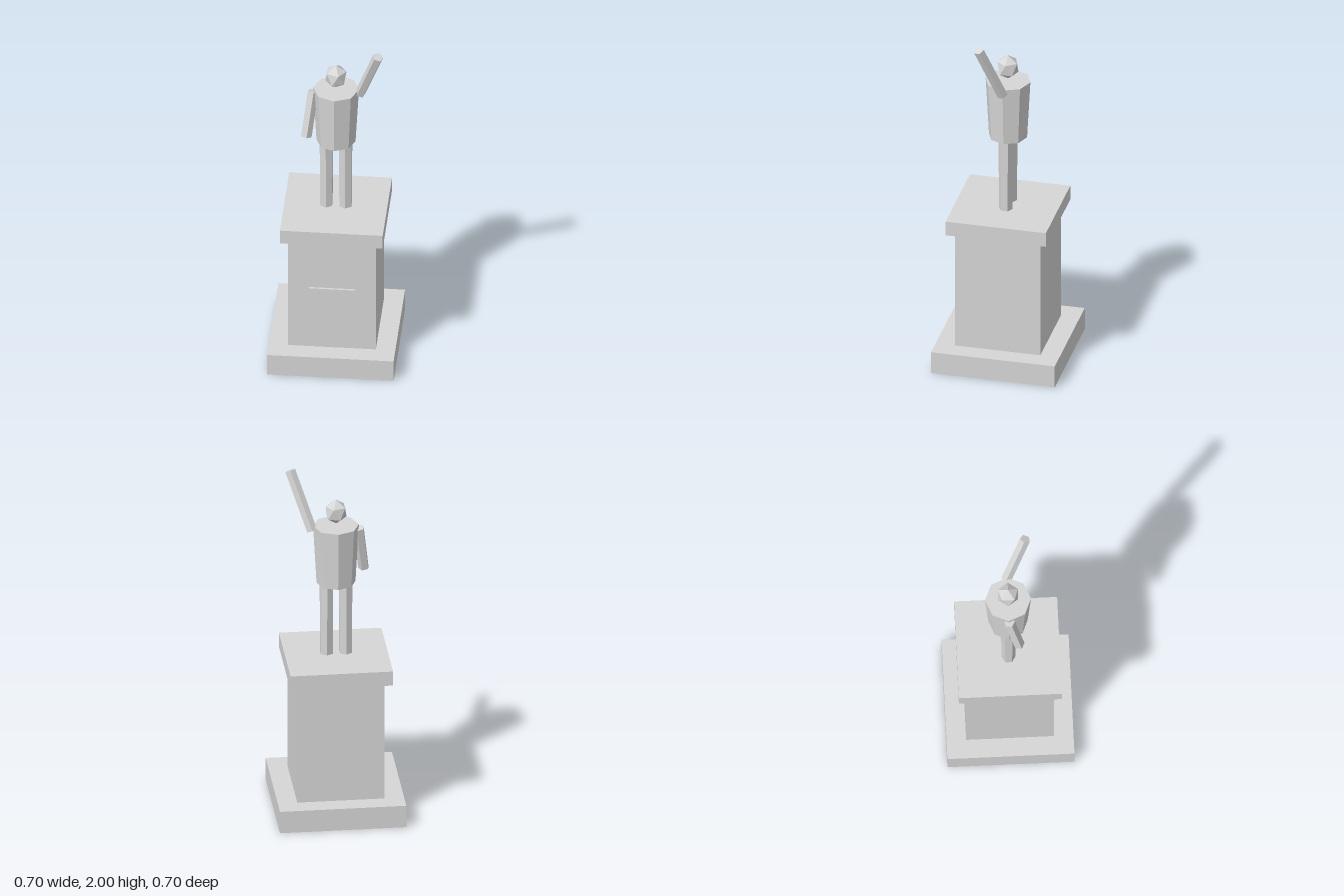
import * as THREE from 'three';

export function createModel() {
  const model = new THREE.Group();
  model.name = 'statue';
  const stone = new THREE.MeshStandardMaterial({ color: 0xd6d6d6, flatShading: true });
  stone.name = 'light grey stone';

  function add(name, geometry, x, y, z, parent) {
    const mesh = new THREE.Mesh(geometry, stone);
    mesh.name = name;
    mesh.position.set(x, y, z);
    parent.add(mesh);
    return mesh;
  }

  // Square block standing between two heights
  function block(name, width, y0, y1, parent) {
    add(name, new THREE.BoxGeometry(width, y1 - y0, width), 0, (y0 + y1) / 2, 0, parent);
  }

  // Five-sided arm running between two points
  function arm(name, from, to, radius, twist, parent) {
    const a = new THREE.Vector3(...from);
    const b = new THREE.Vector3(...to);
    const along = b.clone().sub(a);
    const geometry = new THREE.CylinderGeometry(radius, radius, along.length(), 5);
    geometry.rotateY(twist);
    const mid = a.add(b).multiplyScalar(0.5);
    const mesh = add(name, geometry, mid.x, mid.y, mid.z, parent);
    mesh.quaternion.setFromUnitVectors(new THREE.Vector3(0, 1, 0), along.normalize());
  }

  // Pedestal
  const pedestal = new THREE.Group();
  pedestal.name = 'pedestal';
  model.add(pedestal);
  block('base', 0.7, 0, 0.13, pedestal);
  block('shaft', 0.484, 0.13, 0.835, pedestal);
  block('cap', 0.568, 0.835, 0.92, pedestal);
  add('plaque', new THREE.BoxGeometry(0.26, 0.127, 0.026), 0, 0.461, 0.241, pedestal);

  // Figure
  const figure = new THREE.Group();
  figure.name = 'figure';
  model.add(figure);
  for (const side of [-1, 1]) {
    add(side < 0 ? 'rightLeg' : 'leftLeg',
      new THREE.CylinderGeometry(0.041, 0.038, 0.43, 6), side * 0.053, 1.135, 0, figure);
  }
  add('torso', new THREE.CylinderGeometry(0.127, 0.108, 0.345, 8), 0, 1.521, 0, figure);

  // Head, turned so that one corner points straight up
  const head = new THREE.IcosahedronGeometry(1, 0);
  head.rotateZ(-Math.atan(2 / (1 + Math.sqrt(5))));
  head.scale(0.065, 0.072, 0.065);
  add('head', head, 0, 1.777, 0, figure);

  // Left arm raised forward, right arm hanging
  arm('raisedLeftArm', [0.133, 1.668, -0.002], [0.242, 1.99, 0.106], 0.03, Math.PI, figure);
  arm('loweredRightArm', [-0.16, 1.403, 0.054], [-0.127, 1.67, 0.002], 0.031, 0.16, figure);

  return model;
}
